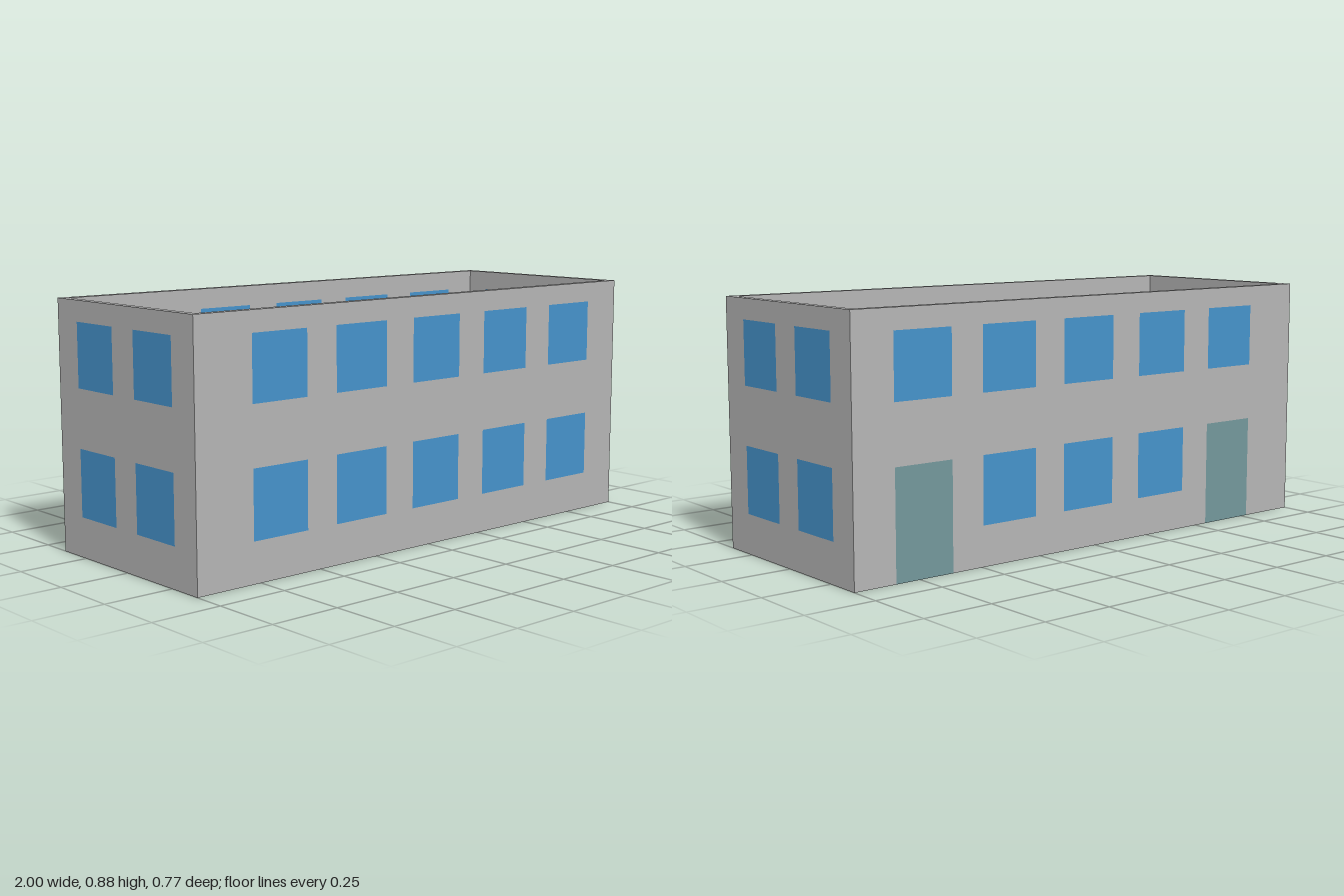
import * as THREE from 'three';

const W = 2, H = 0.875, D = 0.768, T = 0.028;
const ROWS = [[0.14, 0.375], [0.58, 0.803]];

export function createModel() {
  const model = new THREE.Group();
  model.name = 'building';
  const wallMat = new THREE.MeshStandardMaterial({ name: 'grey wall', color: 0xb4b4b4 });
  const glassMat = new THREE.MeshStandardMaterial({ name: 'blue glass', color: 0x4592ca });
  const doorMat = new THREE.MeshStandardMaterial({ name: 'teal door', color: 0x73979b });

  const box = (name, mat, w, h, d, x, y, z, parent = model) => {
    const mesh = new THREE.Mesh(new THREE.BoxGeometry(w, h, d), mat);
    mesh.name = name;
    mesh.position.set(x, y, z);
    parent.add(mesh);
  };

  // A wall with openings, each filled flush by a pane or a door
  function makeWall(name, width, columns, doorColumns = []) {
    const group = new THREE.Group();
    group.name = name;
    const h = width / 2;
    const outline = [[-h, 0]];
    for (const i of doorColumns) {
      const [a, b] = columns[i], top = ROWS[0][1];
      outline.push([a, 0], [a, top], [b, top], [b, 0]);
      box('door', doorMat, b - a, top, T, (a + b) / 2, top / 2, 0, group);
    }
    outline.push([h, 0], [h, H], [-h, H]);
    const shape = new THREE.Shape(outline.map(([x, y]) => new THREE.Vector2(x, y)));

    ROWS.forEach(([y0, y1], row) => columns.forEach(([a, b], i) => {
      if (row === 0 && doorColumns.includes(i)) return;
      shape.holes.push(new THREE.Path([
        new THREE.Vector2(a, y0), new THREE.Vector2(a, y1),
        new THREE.Vector2(b, y1), new THREE.Vector2(b, y0),
      ]));
      box('window', glassMat, b - a, y1 - y0, T, (a + b) / 2, (y0 + y1) / 2, 0, group);
    }));

    const geo = new THREE.ExtrudeGeometry(shape, { depth: T, bevelEnabled: false });
    geo.translate(0, 0, -T / 2);
    const wall = new THREE.Mesh(geo, wallMat);
    wall.name = name + 'Panel';
    group.add(wall);
    model.add(group);
    return group;
  }

  // Long walls: five columns, with two doors at the back
  const longColumns = [0, 1, 2, 3, 4].map(i => [-0.777 + i * 0.349, -0.553 + i * 0.349]);
  makeWall('frontWall', W, longColumns).position.z = D / 2 - T / 2;
  makeWall('backWall', W, longColumns, [0, 4]).position.z = -D / 2 + T / 2;

  // End walls: two columns each, fitted between the long walls
  for (const [name, side] of [['leftWall', 1], ['rightWall', -1]]) {
    const wall = makeWall(name, D - 2 * T, [[-0.268, -0.06], [0.06, 0.268]]);
    wall.rotation.y = side * Math.PI / 2;
    wall.position.x = side * (W / 2 - T / 2);
  }

  // Floor slab and the ground storey partition
  box('floor', wallMat, W - 2 * T, T, D - 2 * T, 0, T / 2, 0);
  box('partition', wallMat, T, 0.44 - T, D - 2 * T, -0.157, (0.44 + T) / 2, 0);

  return model;
}
